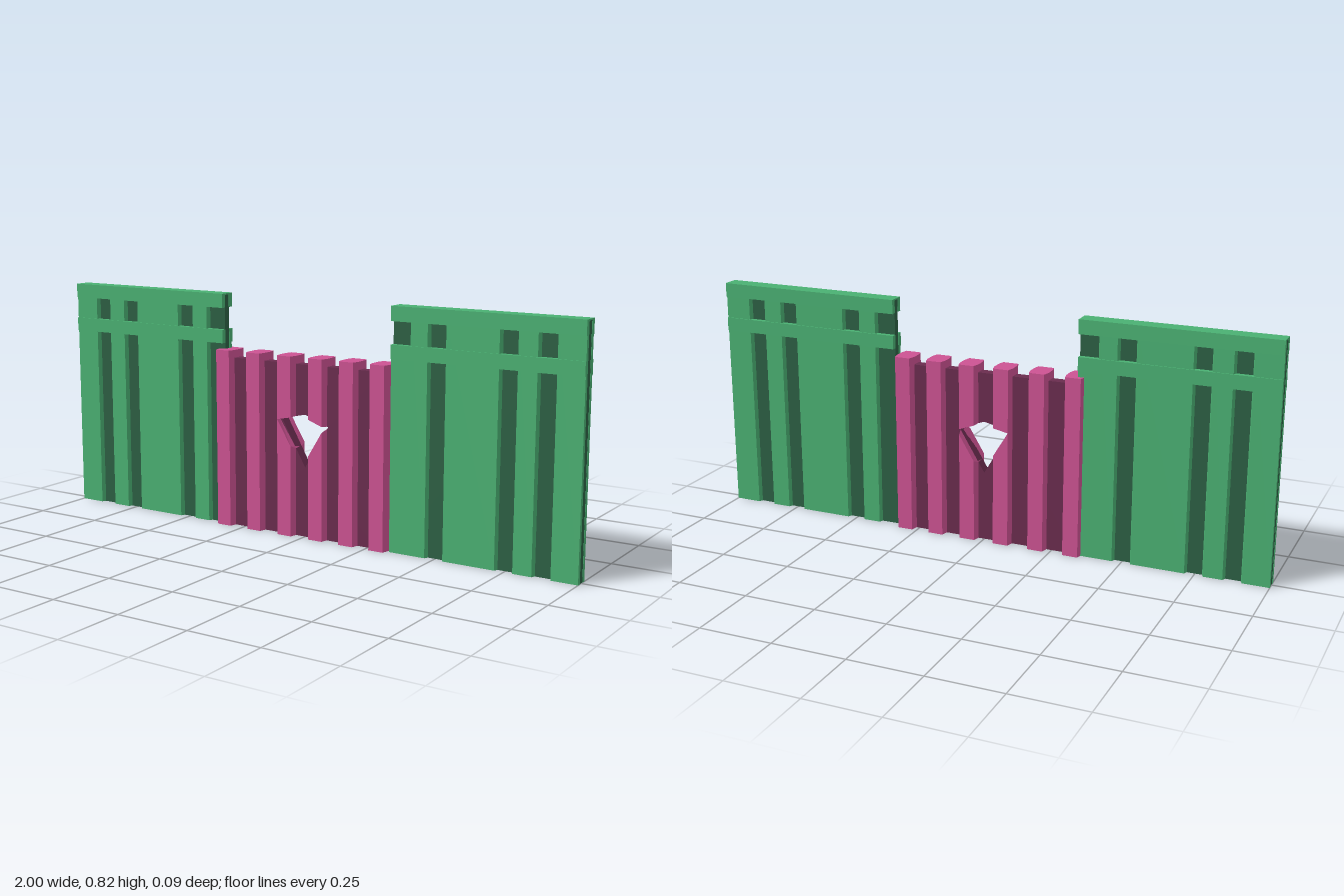
import * as THREE from 'three';

const mat = (name, color, extra = {}) => {
  const m = new THREE.MeshStandardMaterial({ color, ...extra });
  m.name = name;
  return m;
};

// Kite-shaped opening in the gate
const HOLE = { left: [-0.094, 0.405], top: [0, 0.426], right: [0.092, 0.393], bottom: [0, 0.243] };
const holeEdge = (mid) => (x) => {
  const side = x < 0 ? HOLE.left : HOLE.right;
  const t = Math.min(1, Math.abs(x / side[0]));
  return mid[1] + (side[1] - mid[1]) * t;
};
const holeTop = holeEdge(HOLE.top);
const holeBottom = holeEdge(HOLE.bottom);

// Upright prism over an [x, z] section, its ends following bottom(x) and top(x)
function prism(section, bottom, top) {
  const shape = new THREE.Shape(section.map(([x, z]) => new THREE.Vector2(x, -z)));
  const geo = new THREE.ExtrudeGeometry(shape, { depth: 1, bevelEnabled: false });
  geo.rotateX(-Math.PI / 2);
  const p = geo.attributes.position;
  for (let i = 0; i < p.count; i++) {
    p.setY(i, p.getY(i) > 0.5 ? top(p.getX(i)) : bottom(p.getX(i)));
  }
  geo.computeVertexNormals();
  return geo;
}

export function createModel() {
  const model = new THREE.Group();
  const green = mat('green', 0x4ab072);
  const darkGreen = mat('dark green', 0x2c5f43);
  const pink = mat('pink', 0xcc5292);
  const darkPink = mat('dark pink', 0x6a2c4e);

  const add = (parent, name, geo, material) => {
    const mesh = new THREE.Mesh(geo, material);
    mesh.name = name;
    parent.add(mesh);
    return mesh;
  };
  const box = (parent, name, material, x0, x1, y0, y1, z0, z1) => {
    const mesh = add(parent, name, new THREE.BoxGeometry(x1 - x0, y1 - y0, z1 - z0), material);
    mesh.position.set((x0 + x1) / 2, (y0 + y1) / 2, (z0 + z1) / 2);
  };

  // Fence cores and top caps
  const IN = 0.335, TOP = 0.817;
  for (const s of [-1, 1]) {
    const a = s < 0 ? -1 : IN, b = s < 0 ? -IN : 1;
    box(model, 'fenceCore', darkGreen, a + 0.001, b - 0.001, 0, 0.812, -0.011, 0.011);
    box(model, 'topCap', green, a, b, 0.812, TOP, -0.011, 0.011);
  }

  // One face of both fences; the other face is the same turned half round
  const boards = [
    [-1, -0.909], [-0.845, -0.78], [-0.717, -0.533], [-0.467, -0.406],
    [0.406, 0.467], [0.533, 0.717], [0.78, 0.845], [0.909, 1],
  ];
  const SLOPE = 0.006;
  for (const turn of [0, Math.PI]) {
    const face = new THREE.Group();
    face.name = turn ? 'backFace' : 'frontFace';
    face.rotation.y = turn;
    for (const [a, b] of boards) {
      const a0 = a === -1 ? a : a - SLOPE, b0 = b === 1 ? b : b + SLOPE;
      add(face, 'board', prism([[a0, 0.011], [b0, 0.011], [b, 0.025], [a, 0.025]], () => 0, () => 0.79), green);
    }
    // Short filler board beside the gate
    box(face, 'endBoard', green, IN, 0.41, 0, 0.66, 0.011, 0.025);
    for (const [a, b] of [[-1, -IN], [IN, 1]]) {
      box(face, 'topRail', green, a, b, 0.768, TOP, 0.011, 0.029);
      box(face, 'lowerRail', green, a, b, 0.645, 0.692, 0.011, 0.029);
    }
    model.add(face);
  }

  // Gate panel with the opening
  const gate = new THREE.Group();
  gate.name = 'gate';
  model.add(gate);
  const V = (x, y) => new THREE.Vector2(x, y);
  const panel = new THREE.Shape([V(-0.33, 0), V(0.3, 0), V(0.3, 0.597), V(-0.33, 0.597)]);
  panel.holes.push(new THREE.Path([HOLE.left, HOLE.top, HOLE.right, HOLE.bottom].map(([x, y]) => V(x, y))));
  const panelGeo = new THREE.ExtrudeGeometry(panel, { depth: 0.036, bevelEnabled: false });
  panelGeo.translate(0, 0, -0.018);
  add(gate, 'gatePanel', panelGeo, darkPink);

  // Gate posts with tapered faces; the middle two are cut by the opening
  const Z = 0.044, ZM = 0.018;
  [-0.325, -0.198, -0.07, 0.055, 0.176, 0.294].forEach((c) => {
    const w = 0.033, n = 0.027;
    const section = [
      [c - n, Z], [c - w, ZM], [c - w, -ZM], [c - n, -Z],
      [c + n, -Z], [c + w, -ZM], [c + w, ZM], [c + n, Z],
    ];
    if (Math.abs(c) < 0.1) {
      add(gate, 'lowerPost', prism(section, () => 0, holeBottom), pink);
      add(gate, 'upperPost', prism(section, holeTop, () => 0.624), pink);
    } else {
      add(gate, 'post', prism(section, () => 0, () => 0.624), pink);
    }
  });

  return model;
}
